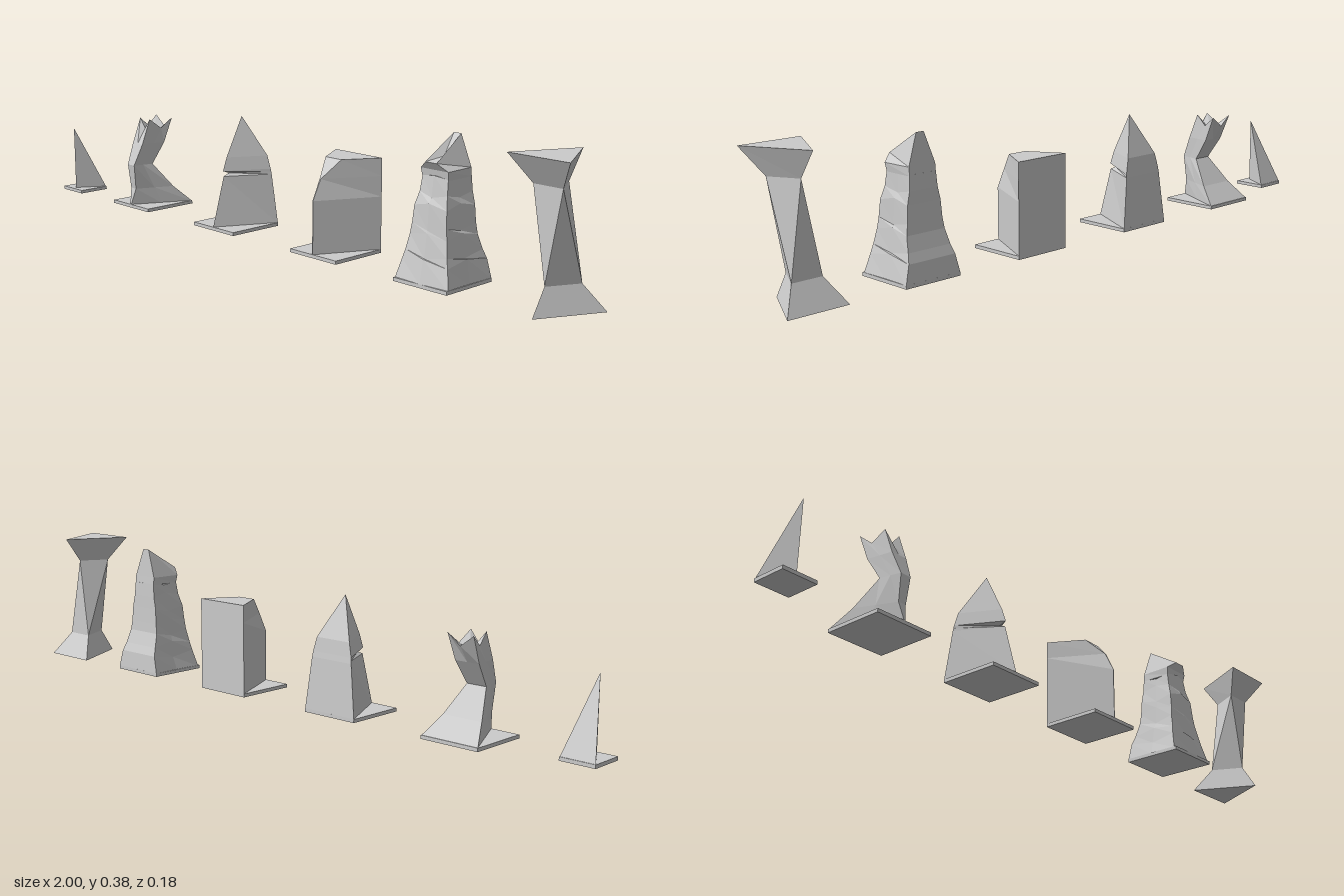
import * as THREE from 'three';

const material = new THREE.MeshStandardMaterial({ color: 0xcccccc, flatShading: true, side: THREE.DoubleSide });
const H = 0.088; // half the width of a large base

// Joins rings of [x, y, z] points (front, right, back, left) and closes both ends.
// capY sets the height of the centre of the top cap.
function loft(name, rings, capY) {
  const pos = [];
  const tri = (a, b, c) => pos.push(...a, ...b, ...c);
  const centre = (ring) => [0, 1, 2].map((k) => ring.reduce((s, p) => s + p[k], 0) / ring.length);
  const n = rings[0].length;
  const first = rings[0], last = rings[rings.length - 1];
  const bottom = centre(first), top = centre(last);
  if (capY !== undefined) top[1] = capY;
  for (let i = 0; i < n; i++) {
    const j = (i + 1) % n;
    for (let r = 0; r + 1 < rings.length; r++) {
      const a = rings[r], b = rings[r + 1];
      tri(a[i], a[j], b[i]);
      tri(a[j], b[j], b[i]);
    }
    tri(bottom, first[j], first[i]);
    tri(top, last[i], last[j]);
  }
  const geometry = new THREE.BufferGeometry();
  geometry.setAttribute('position', new THREE.Float32BufferAttribute(pos, 3));
  geometry.computeVertexNormals();
  const mesh = new THREE.Mesh(geometry, material);
  mesh.name = name;
  return mesh;
}

// Triangle pointing to the front
const wedge = (y, w, back, front) => [[0, y, front], [w, y, back], [-w, y, back]];
// Four-sided ring with separate front and back widths
const quad = (y, wf, front, wb, back) => [[wf, y, front], [wb, y, back], [-wb, y, back], [-wf, y, front]];

function piece(name, x, body, plate = 0, z = 0) {
  const group = new THREE.Group();
  group.name = name;
  group.position.set(x, 0, z);
  group.add(body);
  if (plate) {
    const base = new THREE.Mesh(new THREE.BoxGeometry(plate, 0.01, plate), material);
    base.position.y = 0.005;
    base.name = 'basePlate';
    group.add(base);
  }
  return group;
}

// Small leaning spike
function pawn() {
  const body = loft('pawnSpike', [wedge(0.005, 0.05, -0.05, 0.037), wedge(0.207, 0.0005, 0.037, 0.038)]);
  return piece('pawn', -0.95, body, 0.1, 0.036);
}

// Bent body: leans forward to the waist, then back up to a toothed crown
function crownedPiece() {
  const ring = (y, wf, front, wb, back, tooth = 0) => {
    const mid = (front + back) / 2, wm = (wf + wb) / 2, low = y - tooth;
    return [[0, low, front], [wf, y, front], [wm, low, mid], [wb, y, back],
      [0, low, back], [-wb, y, back], [-wm, low, mid], [-wf, y, front]];
  };
  const body = loft('bentBody', [
    ring(0.008, 0.002, H, H, -H),
    ring(0.06, 0.012, 0.075, 0.06, -0.035),
    ring(0.135, 0.016, 0.083, 0.03, 0.022),
    ring(0.2, 0.024, 0.055, 0.037, -0.02),
    ring(0.275, 0.024, 0.025, 0.04, -0.05, 0.03),
  ], 0.225);
  return piece('crownedPiece', -0.63, body, 2 * H);
}

// Pointed hood with a short slit in its front edge
function bishop() {
  const body = loft('hood', [
    wedge(0.008, H, -H, H),
    wedge(0.155, 0.07, -0.08, 0.046),
    wedge(0.163, 0.069, -0.079, 0.026),
    wedge(0.171, 0.068, -0.078, 0.048),
    wedge(0.21, 0.058, -0.074, 0.034),
    wedge(0.325, 0.0005, -0.026, -0.025),
  ]);
  return piece('bishop', -0.23, body, 2 * H);
}

// Triangular tower with its front corner cut away at the top
function rook() {
  const body = loft('tower', [
    quad(0.008, 0.001, H, H, -H),
    quad(0.158, 0.001, H, H, -H),
    quad(0.215, 0.002, 0.06, H, -H),
    quad(0.265, 0.03, 0.01, H, -H),
  ]);
  return piece('rook', 0.185, body, 2 * H);
}

// Square tapering robe with staggered folds, and a slanted peaked head
function queen() {
  const ring = (y, w, front, back, fold) => [
    [0, y + fold, front + 0.006], [w, y, front], [w * 0.97, y + fold, (front + back) / 2], [w, y, back],
    [0, y, back], [-w, y, back], [-w * 0.97, y - fold, (front + back) / 2], [-w, y, front]];
  const body = loft('robe', [
    ring(0.008, H, 0.082, -H, 0),
    ring(0.06, 0.075, 0.07, -0.084, 0.012),
    ring(0.085, 0.068, 0.066, -0.074, -0.012),
    ring(0.125, 0.061, 0.058, -0.061, 0.012),
    ring(0.155, 0.056, 0.056, -0.059, -0.012),
    ring(0.2, 0.053, 0.052, -0.057, 0.012),
    ring(0.235, 0.045, 0.042, -0.056, -0.01),
    ring(0.275, 0.042, 0.036, -0.054, 0.006),
  ]);
  const head = loft('head', [
    quad(0.272, 0.042, 0.036, 0.042, -0.054),
    quad(0.295, 0.045, 0.04, 0.042, -0.052),
    [[0.018, 0.315, 0.054], [0.012, 0.378, -0.046], [-0.012, 0.378, -0.046], [-0.018, 0.315, 0.054]],
  ], 0.325);
  const group = piece('queen', 0.567, body, 2 * H);
  group.add(head);
  return group;
}

// Twisted column: the foot points to the front, the top to the back
function king() {
  const flipped = (y, w, front, back) => [[w, y, front], [0, y, back], [-w, y, front]];
  const body = loft('twistedColumn', [
    wedge(0, H, -H, H),
    wedge(0.07, 0.044, -0.044, 0.044),
    flipped(0.31, 0.042, 0.045, -0.036),
    flipped(0.383, H, H, -H),
  ]);
  return piece('king', 0.912, body);
}

export function createModel() {
  const group = new THREE.Group();
  group.name = 'chessPieces';
  group.add(pawn(), crownedPiece(), bishop(), rook(), queen(), king());
  return group;
}
